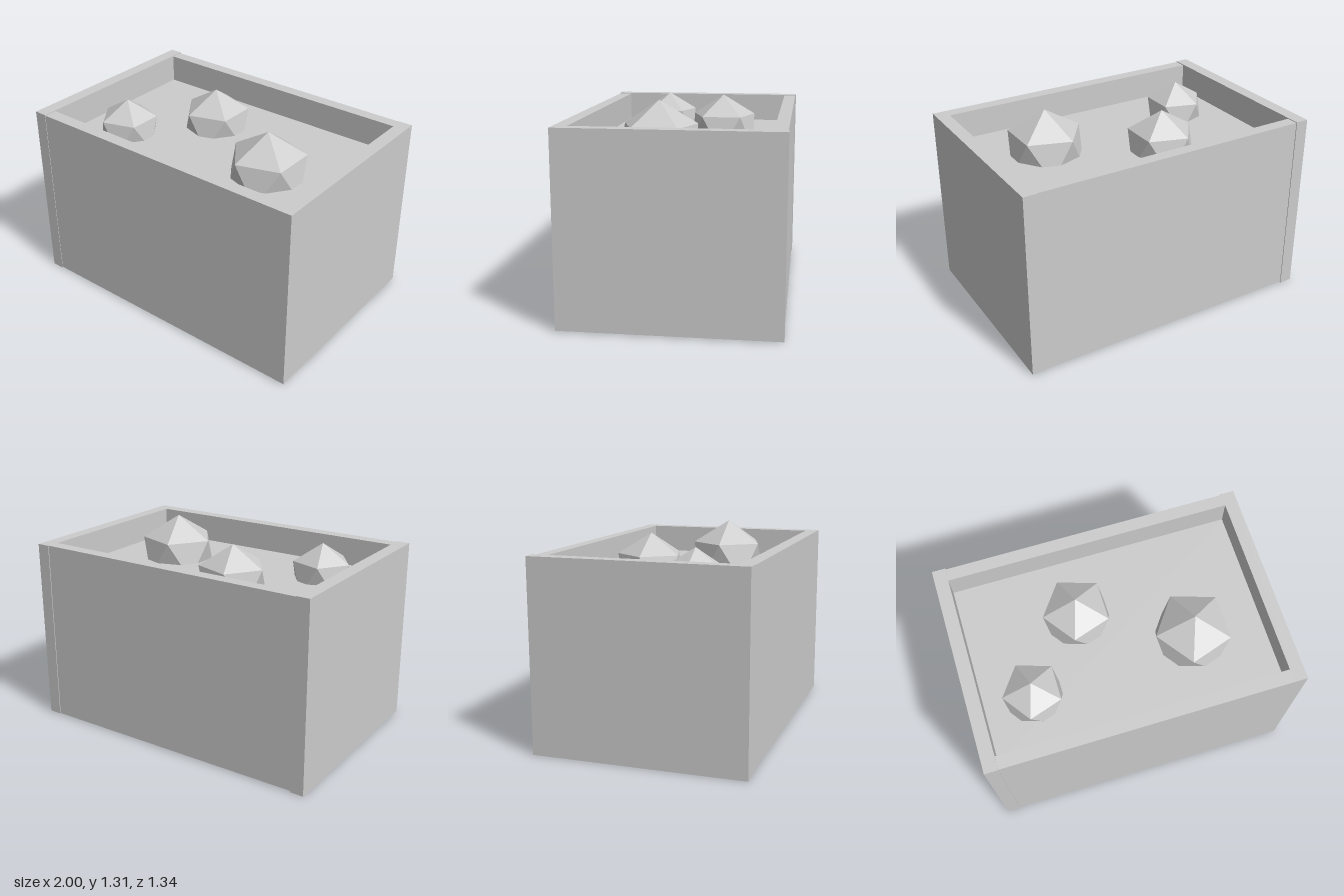
import * as THREE from 'three';

export function createModel() {
  const model = new THREE.Group();
  const grey = new THREE.MeshStandardMaterial({ color: 0xcccccc });
  grey.name = 'grey';

  const add = (name, geometry, x, y, z) => {
    const mesh = new THREE.Mesh(geometry, grey);
    mesh.name = name;
    mesh.position.set(x, y, z);
    model.add(mesh);
  };
  // Box given by its lower and upper limits on each axis
  const slab = (name, [x0, x1], [y0, y1], [z0, z1]) =>
    add(name, new THREE.BoxGeometry(x1 - x0, y1 - y0, z1 - z0),
      (x0 + x1) / 2, (y0 + y1) / 2, (z0 + z1) / 2);

  // Crate: end walls stand slightly proud of the long walls
  slab('rightWall', [-1, -0.915], [0, 1.21], [-0.672, 0.67]);
  slab('leftWall', [0.915, 1], [0.005, 1.205], [-0.672, 0.667]);
  slab('frontWall', [-0.915, 0.915], [0.006, 1.205], [0.583, 0.667]);
  slab('backWall', [-0.915, 0.915], [0.006, 1.205], [-0.667, -0.587]);
  slab('floor', [-0.915, 0.925], [0, 0.08], [-0.587, 0.583]);

  // Surface of the contents
  slab('filling', [-0.915, 0.915], [0.94, 1.02], [-0.587, 0.583]);

  // Half-buried faceted lumps, each with a corner pointing up
  const lumps = [
    [0.46, 0.13, 0.27],
    [-0.2, -0.2, 0.24],
    [-0.6, 0.23, 0.21],
  ];
  const tilt = Math.atan(2 / (1 + Math.sqrt(5)));
  for (const [x, z, radius] of lumps) {
    add('lump', new THREE.IcosahedronGeometry(radius, 0).rotateZ(tilt), x, 1.04, z);
  }
  return model;
}
